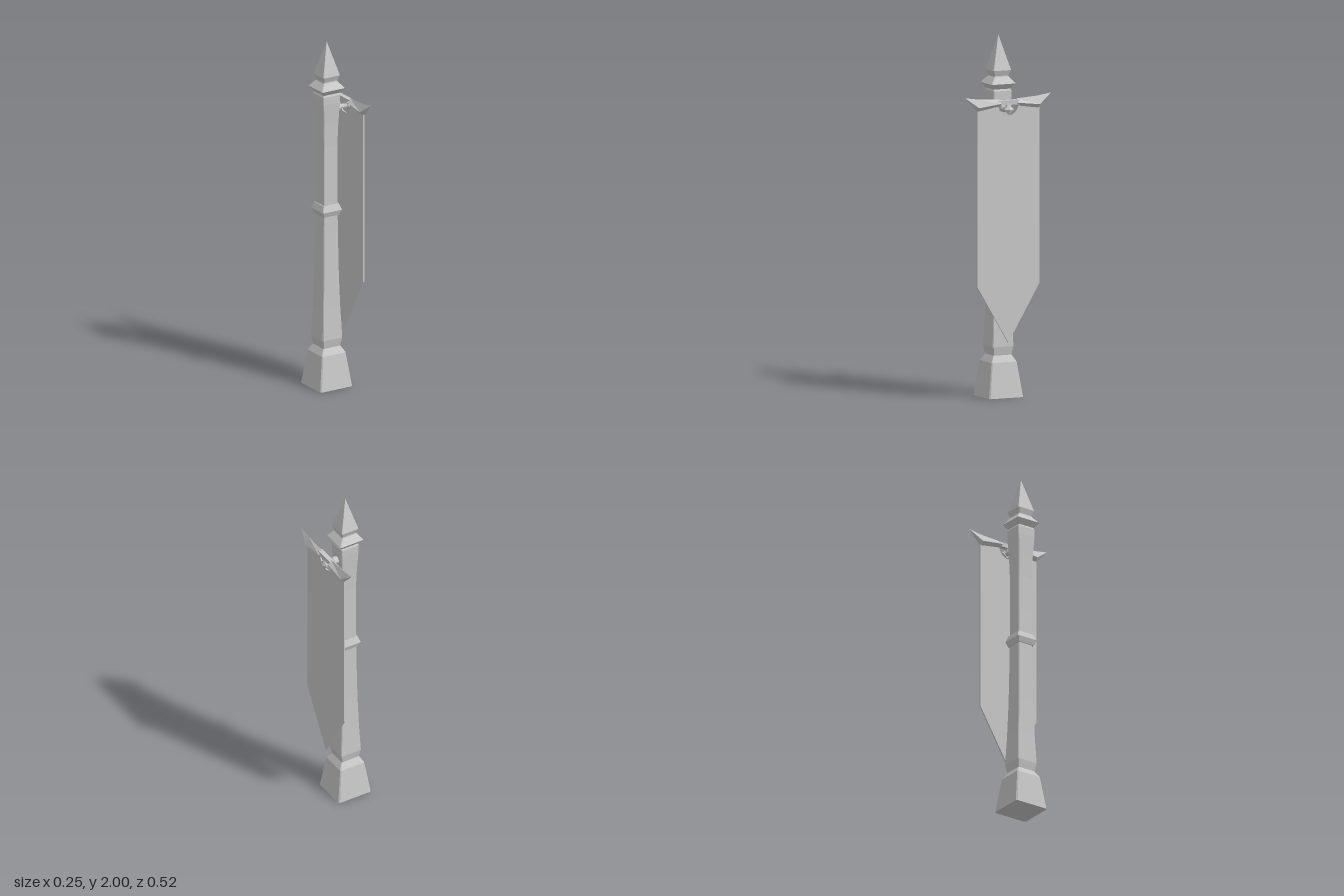
import * as THREE from 'three';

const grey = new THREE.MeshStandardMaterial({ color: 0xc8c8c8 });
grey.name = 'stone grey';

// Skin a list of rings (equal point counts, counter-clockwise seen from the far end) with flat faces and end caps
function loft(rings) {
  const pos = [];
  const tri = (a, b, c) => pos.push(...a, ...b, ...c);
  const n = rings[0].length;
  for (let r = 0; r < rings.length - 1; r++) {
    for (let i = 0; i < n; i++) {
      const j = (i + 1) % n;
      const a = rings[r], b = rings[r + 1];
      tri(a[i], a[j], b[j]);
      tri(a[i], b[j], b[i]);
    }
  }
  const first = rings[0], last = rings[rings.length - 1];
  for (let i = 1; i < n - 1; i++) {
    tri(first[0], first[i + 1], first[i]);
    tri(last[0], last[i], last[i + 1]);
  }
  const g = new THREE.BufferGeometry();
  g.setAttribute('position', new THREE.Float32BufferAttribute(pos, 3));
  g.computeVertexNormals();
  return g;
}

// Square ring with slightly cut corners at height y
function squareRing([h, y]) {
  const k = h * 0.93;
  return [[h, -k], [k, -h], [-k, -h], [-h, -k], [-h, k], [-k, h], [k, h], [h, k]]
    .map(([x, z]) => [x, y, z]);
}

export function createModel() {
  const model = new THREE.Group();
  const add = (name, geometry, parent = model) => {
    const mesh = new THREE.Mesh(geometry, grey);
    mesh.name = name;
    parent.add(mesh);
    return mesh;
  };

  // Square post, all sections as [half width, height]
  const post = new THREE.Group();
  post.name = 'post';
  post.position.x = -0.023;
  model.add(post);
  const sections = {
    foot: [[0.104, 0], [0.077, 0.195], [0.055, 0.232]],
    shaft: [[0.055, 0.232], [0.064, 0.28], [0.056, 0.45], [0.05, 0.65], [0.046, 0.9], [0.044, 1.2],
      [0.044, 1.4], [0.048, 1.53], [0.055, 1.65], [0.055, 1.695], [0.048, 1.71]],
    middleCollar: [[0.052, 0.995], [0.063, 1.025], [0.05, 1.06]],
    topCollar: [[0.05, 1.705], [0.073, 1.735], [0.044, 1.772], [0.042, 1.785]],
    spire: [[0.042, 1.775], [0.054, 1.808], [0.0005, 2]],
  };
  for (const [name, profile] of Object.entries(sections)) {
    add(name, loft(profile.map(squareRing)), post);
  }

  // Hanging cloth with a pointed hem and a notch around the bracket
  const cloth = new THREE.Shape();
  cloth.moveTo(-0.19, 1.625);
  cloth.lineTo(-0.19, 0.63);
  cloth.lineTo(0, 0.31);
  cloth.lineTo(0.19, 0.63);
  cloth.lineTo(0.19, 1.625);
  cloth.lineTo(0.06, 1.635);
  cloth.absellipse(0, 1.625, 0.06, 0.06, 0, Math.PI, true);
  const clothGeometry = new THREE.ExtrudeGeometry(cloth, { depth: 0.008, bevelEnabled: false, curveSegments: 8 });
  clothGeometry.rotateY(Math.PI / 2).translate(0.094, 0, 0);
  add('banner', clothGeometry);

  // Crossbar: thin rod with a flared diamond wing on each side
  const cx = 0.098;
  add('crossbarRod', new THREE.BoxGeometry(0.026, 0.026, 0.13).translate(cx, 1.641, 0));
  // [z, half width, top, edge height, bottom]
  const wing = [[0.052, 0.022, 1.66, 1.638, 1.618], [0.185, 0.022, 1.668, 1.622, 1.597], [0.26, 0.001, 1.68, 1.678, 1.676]];
  for (const side of [1, -1]) {
    const rings = wing.map(([z, w, top, mid, low]) => {
      const ring = [[cx + w, mid, side * z], [cx, top, side * z], [cx - w, mid, side * z], [cx, low, side * z]];
      return side > 0 ? ring : ring.reverse();
    });
    add(side > 0 ? 'frontWing' : 'backWing', loft(rings));
  }

  // Bracket arm between post and crossbar
  const bracket = new THREE.Group();
  bracket.name = 'bracket';
  bracket.position.y = 1.602;
  model.add(bracket);
  const armPart = (name, r0, r1, x0, x1, sides) => {
    const g = new THREE.CylinderGeometry(r1, r0, x1 - x0, sides).toNonIndexed();
    g.rotateZ(-Math.PI / 2).translate((x0 + x1) / 2, 0, 0);
    g.computeVertexNormals();
    return add(name, g, bracket);
  };
  armPart('wallFlange', 0.022, 0.022, 0.026, 0.055, 8);
  armPart('flangeTaper', 0.022, 0.014, 0.055, 0.063, 8);
  armPart('arm', 0.014, 0.014, 0.06, 0.112, 8);
  armPart('studBase', 0.025, 0.031, 0.106, 0.112, 4);
  armPart('studPoint', 0.031, 0.001, 0.112, 0.126, 4);
  add('hanger', new THREE.BoxGeometry(0.018, 0.04, 0.02).translate(cx, 0.018, 0), bracket);

  return model;
}
